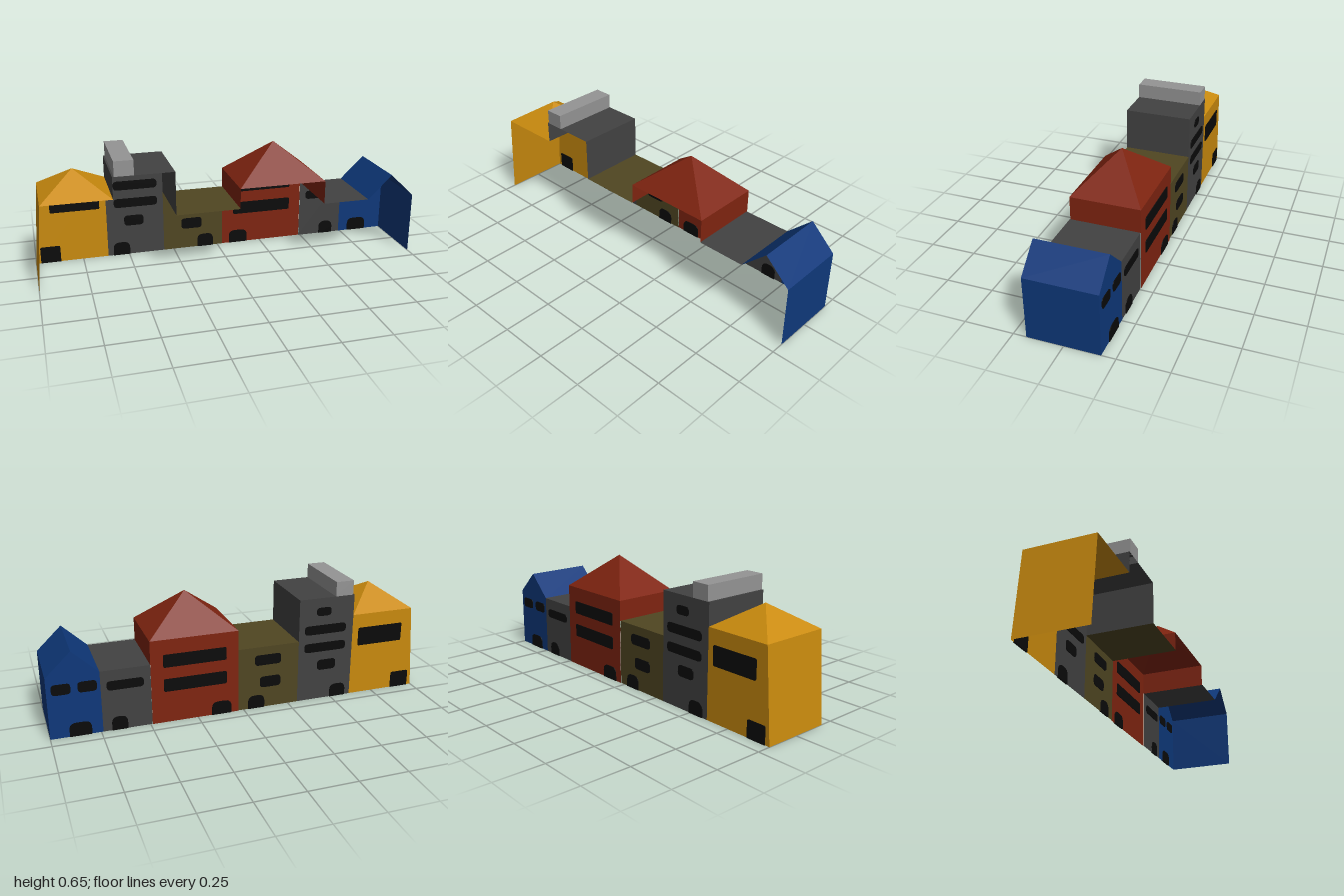
import * as THREE from 'three';

const FRONT = 0.184, BACK = -0.18, PLATE = 0.008;

const paint = (name, color) => {
  const m = new THREE.MeshStandardMaterial({ color, side: THREE.DoubleSide });
  m.name = name;
  return m;
};

function add(group, name, geometry, material) {
  const mesh = new THREE.Mesh(geometry, material);
  mesh.name = name;
  group.add(mesh);
  return mesh;
}

// flat-shaded faces from a list of triangles
function faces(triangles) {
  const g = new THREE.BufferGeometry();
  g.setAttribute('position', new THREE.Float32BufferAttribute(triangles.flat(2), 3));
  g.computeVertexNormals();
  return g;
}

// a section line in x, y (running right to left) swept from back to front
function sheet(points) {
  const tris = [];
  for (let i = 0; i + 1 < points.length; i++) {
    const [a, b] = [points[i], points[i + 1]];
    const p = [[...a, FRONT], [...a, BACK], [...b, BACK], [...b, FRONT]];
    tris.push([p[0], p[1], p[2]], [p[0], p[2], p[3]]);
  }
  return faces(tris);
}

// four-sided hipped roof with a central peak
function pyramid(x0, x1, eave, peak) {
  const base = [[x0, eave, FRONT], [x1, eave, FRONT], [x1, eave, BACK], [x0, eave, BACK]];
  const top = [(x0 + x1) / 2, peak, 0];
  return faces(base.map((p, i) => [p, base[(i + 1) % 4], top]));
}

// upright wall facing the back
function wall(points) {
  const flat = new THREE.ShapeGeometry(new THREE.Shape(points.map(p => new THREE.Vector2(...p))));
  return flat.rotateY(Math.PI).scale(-1, 1, 1).translate(0, 0, BACK);
}

// thin plate centred on x, standing on y, with rounded top and optionally bottom corners
function plate(x, y, width, height, top, bottom) {
  const w = width / 2, s = new THREE.Shape();
  s.moveTo(-w + bottom, 0);
  s.lineTo(w - bottom, 0);
  s.quadraticCurveTo(w, 0, w, bottom);
  s.lineTo(w, height - top);
  s.quadraticCurveTo(w, height, w - top, height);
  s.lineTo(-w + top, height);
  s.quadraticCurveTo(-w, height, -w, height - top);
  s.lineTo(-w, bottom);
  s.quadraticCurveTo(-w, 0, -w + bottom, 0);
  const g = new THREE.ExtrudeGeometry(s, { depth: PLATE, bevelEnabled: false, curveSegments: 5 });
  return g.translate(x, y, BACK - PLATE / 2);
}

export function createModel() {
  const root = new THREE.Group();
  root.name = 'houseRow';
  const ochre = paint('ochre', 0xc98a0e);
  const charcoal = paint('charcoal', 0x424242);
  const paleGrey = paint('paleGrey', 0x949494);
  const olive = paint('olive', 0x504622);
  const red = paint('brickRed', 0x7f2410);
  const blue = paint('blue', 0x0e387a);
  const black = paint('glassBlack', 0x0a0a0a);

  // shared boundaries between neighbouring houses and their eave heights
  const [xA, xB, xC, xD, xE] = [-0.615, -0.305, 0.03, 0.49, 0.74];
  const [ochreTop, tallTop, oliveTop, redTop, lowTop] = [0.457, 0.572, 0.343, 0.45, 0.326];

  // back wall rising from the ground, closed by the given top line (right to left)
  const house = (name, material, x0, x1, topLine) => {
    const group = new THREE.Group();
    group.name = name;
    root.add(group);
    add(group, 'backWall', wall([[x0, 0], [x1, 0], ...topLine]), material);
    return group;
  };
  const windowAt = (group, x, y, width, height, corner = 0.02) =>
    add(group, 'window', plate(x, y, width, height, corner, corner), black);
  const doorAt = (group, x, width, height = 0.072, corner = 0.035) =>
    add(group, 'door', plate(x, 0, width, height, corner, 0), black);

  // ochre house with a leaning outer wall
  const ochreEave = [[xA, ochreTop], [-0.965, ochreTop]];
  const ochreHouse = house('ochreHouse', ochre, -1, xA, ochreEave);
  add(ochreHouse, 'sideWall', sheet([ochreEave[1], [-1, 0]]), ochre);
  add(ochreHouse, 'hippedRoof', pyramid(-0.965, xA, ochreTop, 0.575), ochre);
  windowAt(ochreHouse, -0.78, 0.28, 0.26, 0.1, 0.008);
  doorAt(ochreHouse, -0.922, 0.105, 0.09, 0.01);

  // tall house with a long block on its flat roof
  const tallEave = [[xB, tallTop], [xA, tallTop]];
  const tallHouse = house('tallHouse', charcoal, xA, xB, tallEave);
  add(tallHouse, 'roofAndSides', sheet([[xB, oliveTop], ...tallEave, [xA, ochreTop]]), charcoal);
  windowAt(tallHouse, -0.443, 0.475, 0.082, 0.045);
  for (const y of [0.275, 0.374]) windowAt(tallHouse, -0.455, y, 0.235, 0.049);
  windowAt(tallHouse, -0.468, 0.168, 0.105, 0.057);
  doorAt(tallHouse, -0.54, 0.09);
  const block = add(tallHouse, 'roofBlock', new THREE.BoxGeometry(0.098, 0.078, FRONT - BACK), paleGrey);
  block.position.set(-0.557, tallTop + 0.039, (FRONT + BACK) / 2);

  // olive house
  const oliveEave = [[xC, oliveTop], [xB, oliveTop]];
  const oliveHouse = house('oliveHouse', olive, xB, xC, oliveEave);
  add(oliveHouse, 'flatRoof', sheet(oliveEave), olive);
  windowAt(oliveHouse, -0.133, 0.242, 0.145, 0.056);
  windowAt(oliveHouse, -0.147, 0.115, 0.115, 0.06);
  doorAt(oliveHouse, -0.07, 0.09);

  // red house, set very slightly behind the row
  const redHouse = house('redHouse', red, xC, xD, [[xD, redTop], [xC, redTop]]);
  redHouse.position.z = -0.003;
  add(redHouse, 'leftWall', sheet([[xD, lowTop], [xD, redTop]]), red);
  add(redHouse, 'rightWall', sheet([[xC, redTop], [xC, oliveTop]]), red);
  add(redHouse, 'hippedRoof', pyramid(xC, xD, redTop, 0.635), red);
  for (const y of [0.171, 0.303]) windowAt(redHouse, 0.26, y, 0.33, 0.068, 0.008);
  doorAt(redHouse, 0.122, 0.105);

  // low grey house
  const lowEave = [[xE, lowTop], [xD, lowTop]];
  const lowHouse = house('lowHouse', charcoal, xD, xE, lowEave);
  add(lowHouse, 'flatRoof', sheet(lowEave), charcoal);
  windowAt(lowHouse, 0.618, 0.22, 0.185, 0.048);
  doorAt(lowHouse, 0.655, 0.08);

  // blue gabled house closing the row
  const gable = [[1, lowTop], [0.87, 0.45], [xE, lowTop]];
  const blueHouse = house('blueHouse', blue, xE, 1, gable);
  add(blueHouse, 'roofAndSide', sheet([[1, 0], ...gable]), blue);
  for (const x of [0.803, 0.93]) windowAt(blueHouse, x, 0.232, 0.093, 0.055);
  doorAt(blueHouse, 0.85, 0.11);

  return root;
}
